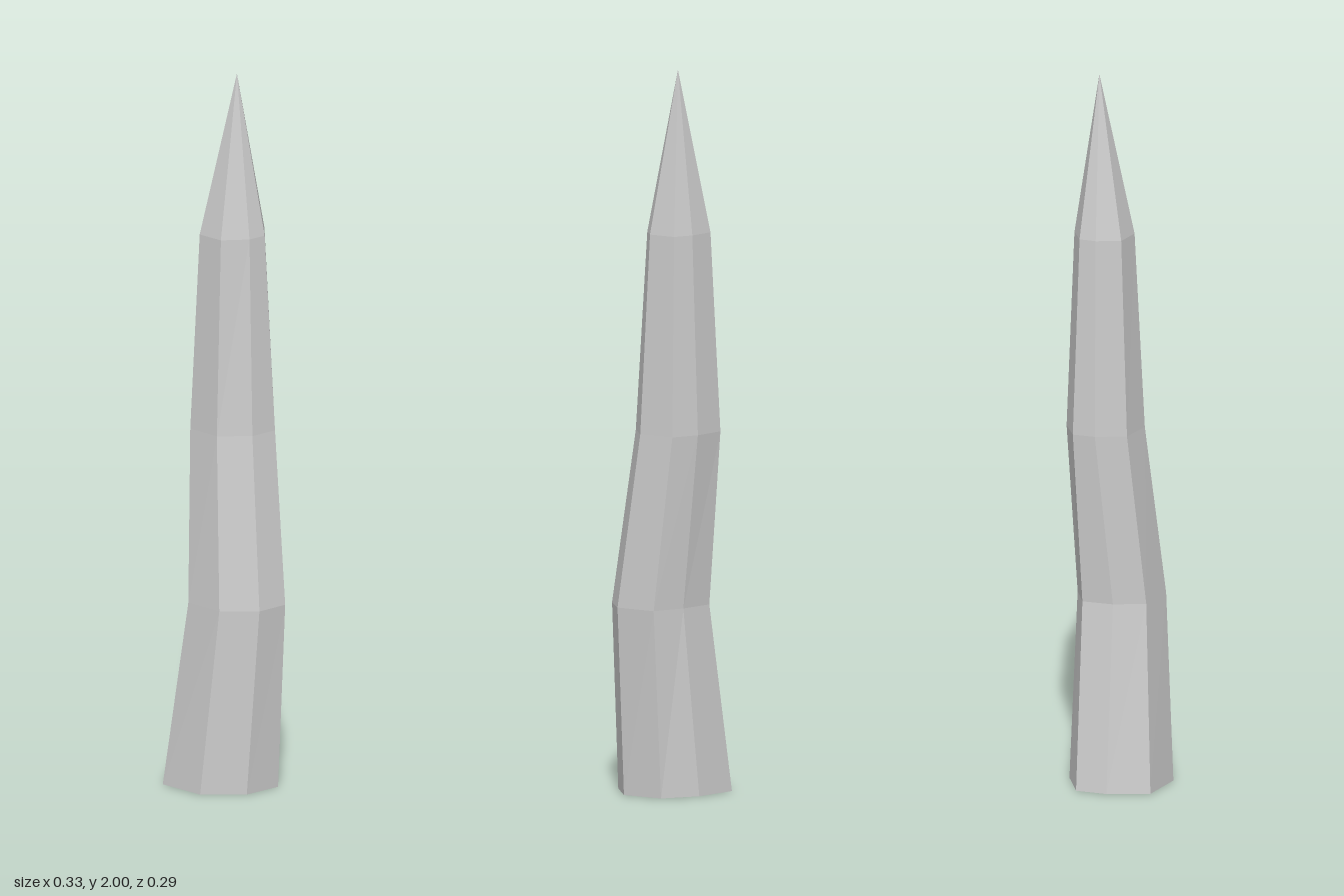
import * as THREE from 'three';

// Horizontal cross-sections: height and eight [x, z] corners, counterclockwise from the front
const SECTIONS = [
  { y: 0, ring: [[-0.015, 0.145], [0.10, 0.09], [0.145, -0.015], [0.09, -0.12], [-0.02, -0.14], [-0.143, -0.108], [-0.166, -0.022], [-0.15, 0.097]] },
  { y: 0.52, ring: [[0.031, 0.12], [0.13, 0.073], [0.166, -0.016], [0.114, -0.121], [0.02, -0.122], [-0.077, -0.098], [-0.097, -0.012], [-0.082, 0.078]] },
  { y: 1.0, ring: [[-0.002, 0.065], [0.085, 0.022], [0.117, -0.055], [0.07, -0.147], [-0.01, -0.149], [-0.098, -0.122], [-0.113, -0.06], [-0.10, 0.027]] },
  { y: 1.55, ring: [[-0.003, 0.037], [0.064, -0.004], [0.086, -0.055], [0.052, -0.126], [-0.005, -0.128], [-0.076, -0.106], [-0.09, -0.06], [-0.08, 0.009]] },
];
const TIP = [0, 2, -0.06];

// Joins neighbouring cross-sections with quads and closes the top in a point
function hornGeometry() {
  const sides = SECTIONS[0].ring.length;
  const positions = [];
  const indices = [];
  for (const { y, ring } of SECTIONS) {
    for (const [x, z] of ring) positions.push(x, y, z);
  }
  positions.push(...TIP);
  const tip = SECTIONS.length * sides;
  for (let s = 0; s < SECTIONS.length; s++) {
    for (let i = 0; i < sides; i++) {
      const a = s * sides + i;
      const b = s * sides + (i + 1) % sides;
      if (s === SECTIONS.length - 1) indices.push(a, b, tip);
      else indices.push(a, b, b + sides, a, b + sides, a + sides);
    }
  }
  const geometry = new THREE.BufferGeometry();
  geometry.setAttribute('position', new THREE.Float32BufferAttribute(positions, 3));
  geometry.setIndex(indices);
  geometry.computeVertexNormals();
  return geometry;
}

export function createModel() {
  const group = new THREE.Group();
  group.name = 'spike';
  // Bent hollow spike, open at the bottom
  const material = new THREE.MeshStandardMaterial({ color: 0xcccccc, flatShading: true, side: THREE.DoubleSide });
  const shell = new THREE.Mesh(hornGeometry(), material);
  shell.name = 'spikeShell';
  group.add(shell);
  return group;
}
